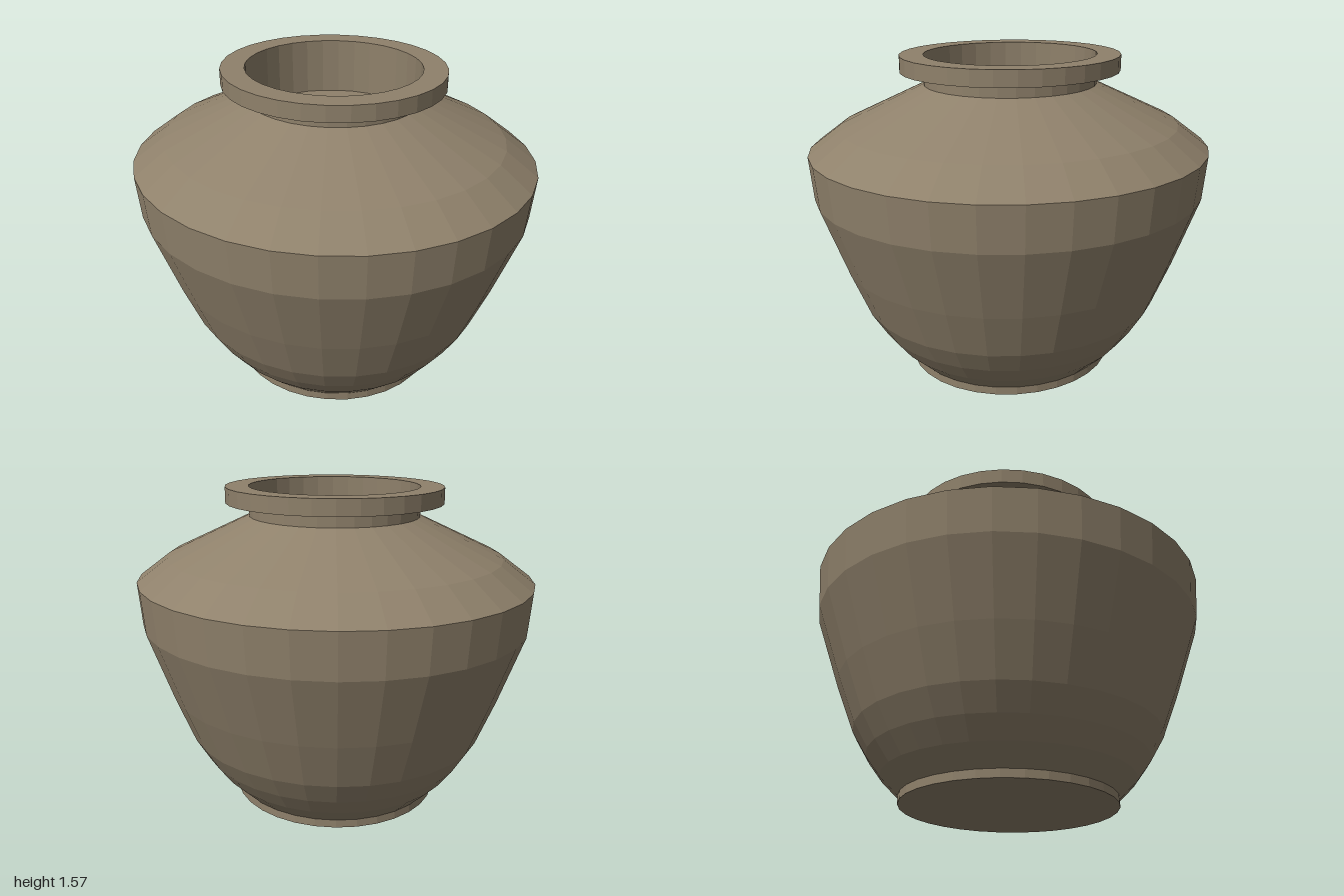
import * as THREE from 'three';

const SIDES = 32;
const SQUASH = 0.96; // the pot is slightly narrower across x than z

export function createModel() {
  const pot = new THREE.Group();
  pot.name = 'pot';
  const clay = new THREE.MeshStandardMaterial({ color: 0x8f816b });
  clay.name = 'clay';

  // Faceted ring of the pot turned from [radius, height] pairs, running anticlockwise
  function turn(name, profile) {
    const points = profile.map(([r, y]) => new THREE.Vector2(r, y));
    const geometry = new THREE.LatheGeometry(points, SIDES).toNonIndexed();
    geometry.scale(SQUASH, 1, 1);
    geometry.computeVertexNormals();
    const mesh = new THREE.Mesh(geometry, clay);
    mesh.name = name;
    pot.add(mesh);
  }

  // Closed base and short upright foot
  turn('foot', [[0, 0], [0.533, 0], [0.533, 0.04]]);

  // Belly flaring up to the sharp shoulder edge
  turn('belly', [
    [0.533, 0.04], [0.625, 0.13], [0.697, 0.225], [0.767, 0.34],
    [0.86, 0.57], [0.982, 0.91], [1, 1.122],
  ]);

  // Shoulder sloping in to the neck
  turn('shoulder', [[1, 1.122], [0.843, 1.236], [0.43, 1.425]]);

  // Upright neck
  turn('neck', [[0.43, 1.425], [0.43, 1.49]]);

  // Overhanging flat lip
  turn('rim', [[0.43, 1.49], [0.546, 1.49], [0.546, 1.567], [0.429, 1.567]]);

  // Shallow well inside the mouth
  turn('mouth', [[0.429, 1.567], [0.429, 1.3], [0, 1.3]]);

  return pot;
}
